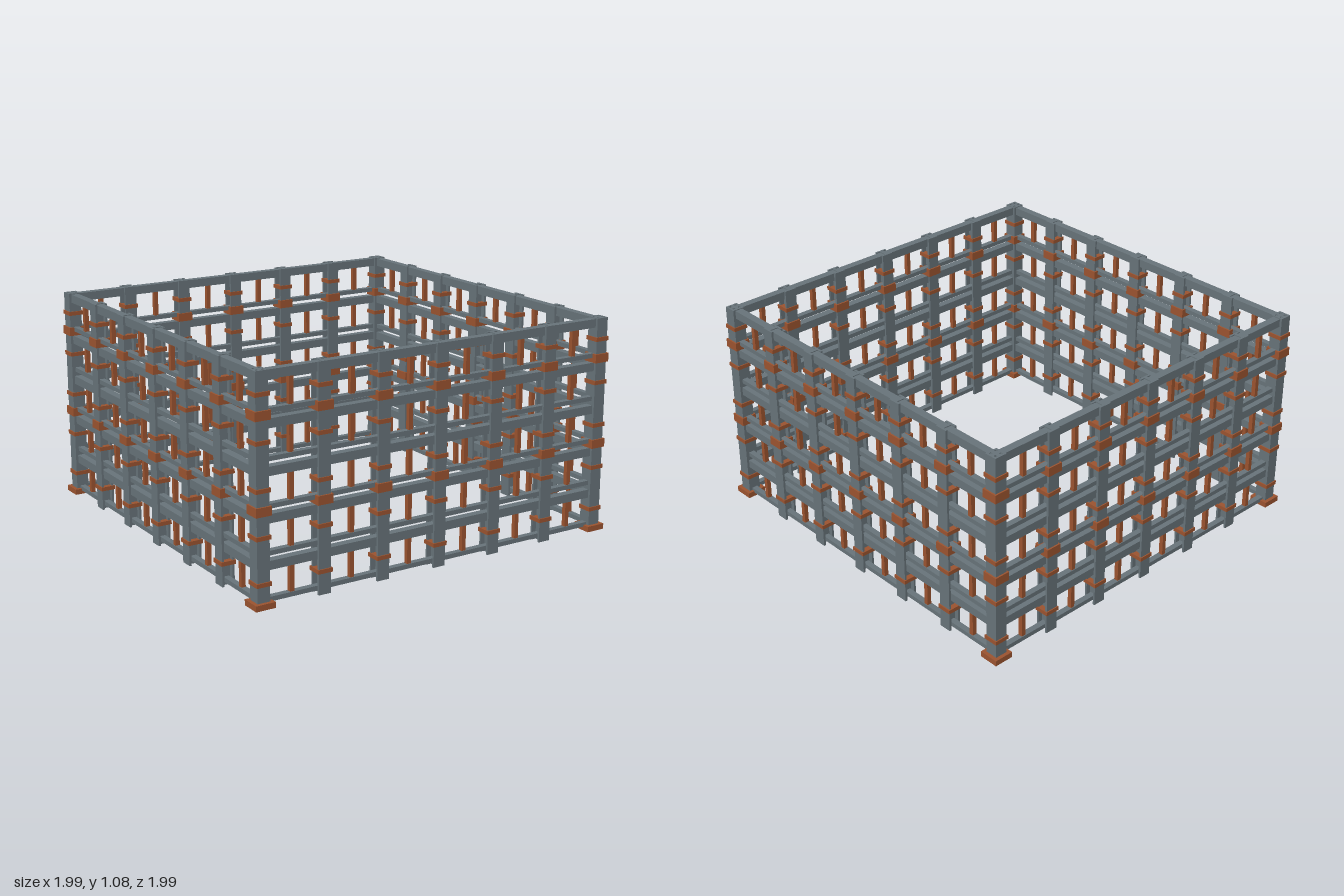
import * as THREE from 'three';

const steel = new THREE.MeshStandardMaterial({ color: 0x68747a });
steel.name = 'greySteel';
const rust = new THREE.MeshStandardMaterial({ color: 0x9c5430 });
rust.name = 'rustBrown';

const HALF = 0.947;          // wall centre line
const STEP = HALF / 3;       // post spacing
const TIERS = 5;
const TIER_H = 0.215;
const HEIGHT = TIERS * TIER_H;

function box(parent, name, material, w, h, d, x, y, z) {
  const mesh = new THREE.Mesh(new THREE.BoxGeometry(w, h, d), material);
  mesh.name = name;
  mesh.position.set(x, y, z);
  parent.add(mesh);
  return mesh;
}

// I-beam post: two flanges parallel to the wall joined by a web
function makePost(x) {
  const shape = new THREE.Shape();
  const w = 0.032, web = 0.009, inner = 0.021;
  [[-w, -w], [w, -w], [w, -inner], [web, -inner], [web, inner], [w, inner],
    [w, w], [-w, w], [-w, inner], [-web, inner], [-web, -inner], [-w, -inner]]
    .forEach(([a, b], i) => (i ? shape.lineTo(a, b) : shape.moveTo(a, b)));
  const geometry = new THREE.ExtrudeGeometry(shape, { depth: HEIGHT, bevelEnabled: false });
  geometry.rotateX(-Math.PI / 2);
  const mesh = new THREE.Mesh(geometry, steel);
  mesh.name = 'post';
  mesh.position.x = x;
  return mesh;
}

// Clamp bands around one post
function addBands(parent, x) {
  for (let t = 0; t < TIERS; t++) {
    box(parent, 'clampBand', rust, 0.075, 0.02, 0.075, x, t * TIER_H + 0.112, 0);
  }
  for (const t of [2, 4]) {
    box(parent, 'jointCollar', rust, 0.08, 0.043, 0.08, x, t * TIER_H + 0.018, 0);
  }
}

// One side of the enclosure, lying along x
function makeWall() {
  const wall = new THREE.Group();
  wall.name = 'wall';
  for (let i = -3; i <= 3; i++) {
    wall.add(makePost(i * STEP));
    if (i < 3) addBands(wall, i * STEP);   // the next wall bands the shared corner
  }
  for (let t = 0; t < TIERS; t++) {
    const y = t * TIER_H;
    box(wall, 'lowerRail', steel, HALF * 2, 0.022, 0.03, 0, y + 0.03, 0);
    box(wall, 'upperRail', steel, HALF * 2, 0.042, 0.04, 0, y + 0.19, 0);
    // Thin bars between the rails, midway between posts
    for (let i = -2.5; i <= 2.5; i++) {
      box(wall, 'infillBar', rust, 0.022, 0.13, 0.022, i * STEP, y + 0.105, 0);
    }
  }
  // Foot plate under the corner
  box(wall, 'footPlate', rust, 0.1, 0.028, 0.1, -HALF, 0.014, 0);
  return wall;
}

export function createModel() {
  const model = new THREE.Group();
  model.name = 'latticeEnclosure';
  for (let k = 0; k < 4; k++) {
    const side = new THREE.Group();
    side.name = ['frontSide', 'leftSide', 'backSide', 'rightSide'][k];
    const wall = makeWall();
    wall.position.z = HALF;
    side.add(wall);
    side.rotation.y = k * Math.PI / 2;
    model.add(side);
  }
  return model;
}
